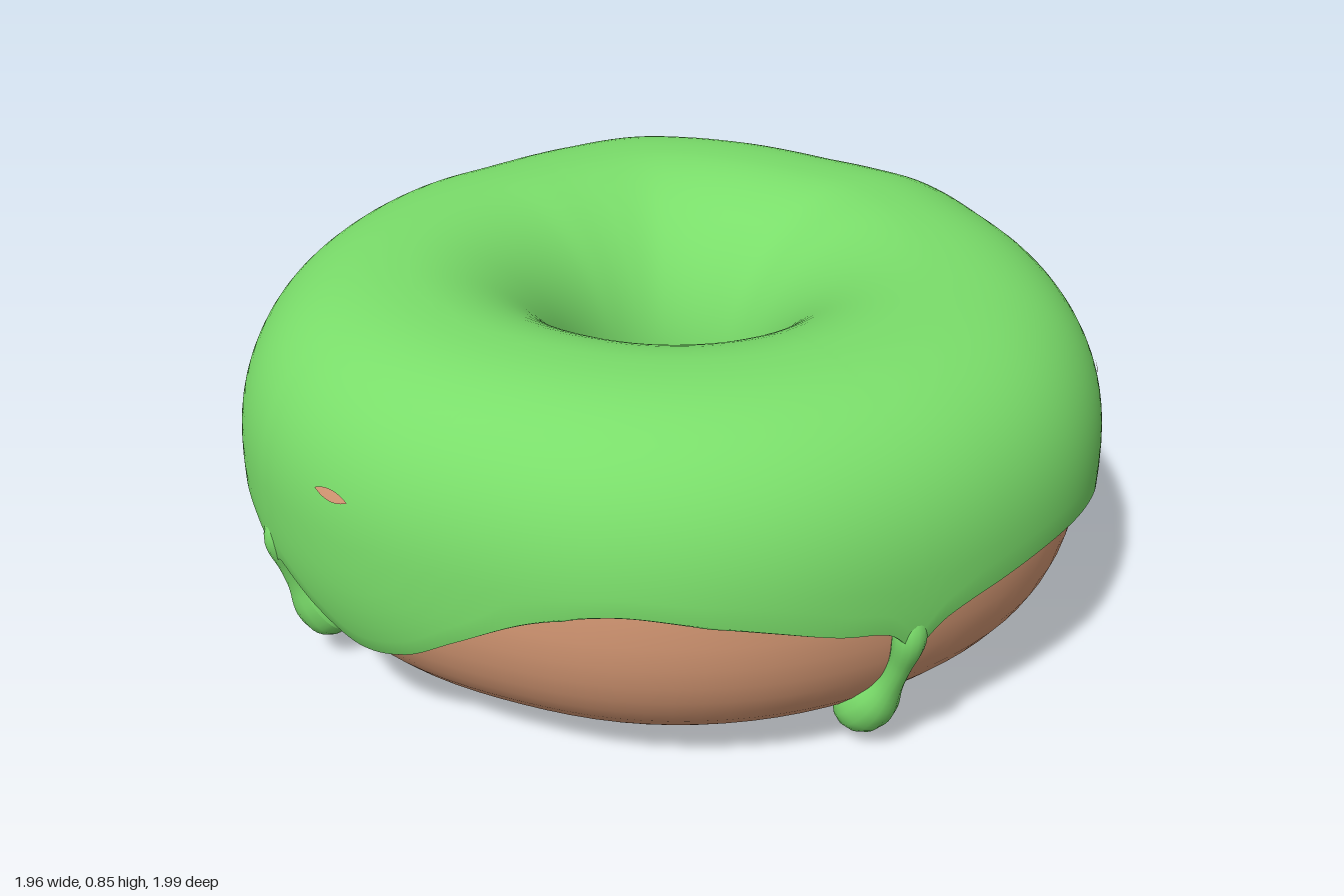
import * as THREE from 'three';

const RAD = Math.PI / 180;
const ICING = 0.035; // icing thickness over the dough
const MID = 0.44;    // height of the waist

const doughMat = new THREE.MeshStandardMaterial({ color: 0xdb9c77 });
doughMat.name = 'dough brown';
const icingMat = new THREE.MeshStandardMaterial({ color: 0x7add6a });
icingMat.name = 'icing green';

// Smooth curve through [x, y] knots, optionally repeating every `period`
function smooth(knots, period = 0) {
  const n = knots.length;
  const knot = (i) => {
    if (!period) return knots[Math.min(n - 1, Math.max(0, i))];
    const k = ((i % n) + n) % n;
    return [knots[k][0] + Math.floor(i / n) * period, knots[k][1]];
  };
  return (x) => {
    if (period) x = ((x % period) + period) % period;
    let i = -1;
    while (i < n - 1 && knots[i + 1][0] <= x) i++;
    if (!period) i = Math.min(n - 2, Math.max(0, i));
    const [p, a, b, q] = [knot(i - 1), knot(i), knot(i + 1), knot(i + 2)];
    const d = b[0] - a[0], s = (x - a[0]) / d;
    const ma = (b[1] - p[1]) / (b[0] - p[0]) * d, mb = (q[1] - a[1]) / (q[0] - a[0]) * d;
    const s2 = s * s, s3 = s2 * s;
    return (2 * s3 - 3 * s2 + 1) * a[1] + (s3 - 2 * s2 + s) * ma + (3 * s2 - 2 * s3) * b[1] + (s3 - s2) * mb;
  };
}

// Uneven outer radius by angle in degrees (0 = front, 90 = left side)
const outerRadius = smooth([[0, 0.995], [15, 1], [30, 1.01], [47, 1.02], [62, 1.01], [78, 0.99], [90, 0.98],
  [102, 0.975], [116, 0.995], [125, 0.97], [135, 0.95], [152, 0.975], [163, 0.995], [174, 1.002], [189, 0.942],
  [206, 0.903], [220, 0.92], [241, 0.935], [261, 0.962], [276, 0.985], [290, 0.987], [305, 0.982], [325, 0.971],
  [342, 0.985]], 360);

// Height of the icing's wavy lower edge by angle, dipping where it drips
const icingEdge = smooth([[0, 0.42], [8, 0.385], [14, 0.365], [16.5, 0.33], [18, 0.3], [19.5, 0.33], [22, 0.365],
  [28, 0.395], [40, 0.42], [52, 0.41], [62, 0.375], [70, 0.35], [80, 0.38], [92, 0.46], [100, 0.41], [105, 0.36],
  [108, 0.29], [111, 0.325], [120, 0.39], [132, 0.48], [145, 0.52], [160, 0.5], [174, 0.47], [185, 0.43],
  [194, 0.36], [197.5, 0.29], [201, 0.33], [215, 0.34], [225, 0.39], [234, 0.45], [245, 0.47], [257, 0.44],
  [270, 0.41], [280, 0.375], [284.5, 0.34], [287, 0.29], [290, 0.31], [298, 0.25], [305, 0.21], [314, 0.25],
  [322, 0.33], [332, 0.42], [342, 0.46], [352, 0.445]], 360);

const SQUARENESS = 0.85; // below 1 fills out the outer corners

// Half-height of the section above or below the waist
function halfHeight(deg, up, off) {
  if (up) return 0.84 - 0.016 * Math.cos(deg * RAD) - MID - ICING + off;
  return MID - 0.035 + 0.033 * Math.exp(-(((deg - 205) / 35) ** 2)) + off;
}

// Point on the ring: t = 0 outside, PI/2 top, PI inside the hole
function ringPoint(deg, t, off) {
  const hole = 0.2 + 0.03 * Math.cos(deg * RAD);
  const R = outerRadius(deg), c = Math.cos(t), s = Math.sin(t);
  const half = (R - hole) / 2 - ICING + off;
  const e = c > 0 ? SQUARENESS : 1;
  const r = (R + hole) / 2 + half * Math.sign(c) * Math.abs(c) ** e;
  const y = MID + halfHeight(deg, s > 0, off) * Math.sign(s) * Math.abs(s) ** e;
  return new THREE.Vector3(r * Math.sin(deg * RAD), y, r * Math.cos(deg * RAD));
}

// Section angle at which the outer face reaches height y
function angleAt(deg, y, off) {
  const up = y > MID;
  const k = Math.min(1, Math.abs(y - MID) / halfHeight(deg, up, off));
  return Math.asin(k ** (1 / SQUARENESS)) * (up ? 1 : -1);
}

const outerPoint = (deg, y, off) => ringPoint(deg, angleAt(deg, y, off), off);

// Grid surface from point(i, j), optionally joined around either way
function gridGeometry(nu, nv, wrapU, wrapV, point) {
  const pos = [], index = [];
  for (let j = 0; j < nv; j++) for (let i = 0; i < nu; i++) pos.push(...point(i, j).toArray());
  for (let j = 0; j < (wrapV ? nv : nv - 1); j++) {
    for (let i = 0; i < (wrapU ? nu : nu - 1); i++) {
      const i1 = (i + 1) % nu, j1 = (j + 1) % nv;
      const a = j * nu + i, b = j * nu + i1, c = j1 * nu + i1, d = j1 * nu + i;
      index.push(a, b, c, a, c, d);
    }
  }
  const g = new THREE.BufferGeometry();
  g.setAttribute('position', new THREE.Float32BufferAttribute(pos, 3));
  g.setIndex(index);
  g.computeVertexNormals();
  return g;
}

// Drip that leaves the icing, narrows to a neck and ends in a rounded bulb
const dripRadius = smooth([[0, 0.02], [0.18, 0.036], [0.4, 0.026], [0.55, 0.03], [0.72, 0.055], [0.85, 0.062], [0.95, 0.042], [1, 0]]);
function dripGeometry(startDeg, endDeg, bottom) {
  const path = new THREE.CatmullRomCurve3([0, 0.2, 0.45, 0.7, 0.88, 1].map((u) => {
    const deg = startDeg + (endDeg - startDeg) * u * u;
    return outerPoint(deg, 0.41 + (bottom - 0.41) * u, u === 0 ? -0.02 : 0.01);
  }));
  const steps = 32, sides = 14;
  const g = new THREE.TubeGeometry(path, steps, 1, sides);
  const pos = g.attributes.position, v = new THREE.Vector3();
  for (let i = 0; i <= steps; i++) {
    const centre = path.getPointAt(i / steps);
    const r = Math.max(0.001, dripRadius(i / steps));
    for (let k = 0; k <= sides; k++) {
      const n = i * (sides + 1) + k;
      v.fromBufferAttribute(pos, n).sub(centre).multiplyScalar(r).add(centre);
      pos.setXYZ(n, v.x, v.y, v.z);
    }
  }
  g.computeVertexNormals();
  return g;
}

export function createModel() {
  const model = new THREE.Group();
  model.name = 'donut';
  const add = (name, geometry, material) => {
    const mesh = new THREE.Mesh(geometry, material);
    mesh.name = name;
    model.add(mesh);
    return mesh;
  };

  // Dough ring
  const around = 96, section = 48;
  add('dough', gridGeometry(around, section, true, true,
    (i, j) => ringPoint(i * 360 / around, j * 2 * Math.PI / section, 0)), doughMat);

  // Icing shell with a rounded lip at its outer and inner edges
  const turns = 360, rows = 48;
  const lip = [-0.012, 0.016, 0.029];
  add('icing', gridGeometry(turns, rows, true, false, (i, j) => {
    const deg = i * 360 / turns;
    const start = angleAt(deg, icingEdge(deg), ICING), end = Math.PI + 0.1;
    const fromEnd = rows - 1 - j;
    if (j < 3) return ringPoint(deg, start + [0, -0.015, -0.008][j], lip[j]);
    if (fromEnd < 3) return ringPoint(deg, end + 0.01 * (2 - fromEnd), lip[fromEnd]);
    return ringPoint(deg, start + (end - start) * (j - 3) / (rows - 6), ICING);
  }), icingMat);

  // Four drips: angle at the top, angle at the bulb, lowest height
  for (const drip of [[18, 17], [108, 107], [197.5, 189], [287, 286]]) {
    add('drip', dripGeometry(...drip, drip[0] > 280 ? 0.08 : 0.055), icingMat);
  }

  // Thin bare spots: centre angle, half width, lower height, upper height, slant
  const spots = [[253, 8, 0.6, 0.68, 0.02], [215, 8, 0.62, 0.64, 0], [165, 9, 0.62, 0.66, -0.02],
    [71, 7, 0.605, 0.622, 0], [304, 3, 0.56, 0.585, 0]];
  for (const [deg, width, low, high, slant] of spots) {
    add('bareSpot', gridGeometry(13, 4, false, false, (i, j) => {
      const u = i / 6 - 1, a = deg + width * u;
      const y = (low + high) / 2 + slant * u + (high - low) * (j / 3 - 0.5) * (1 - u * u);
      return outerPoint(a, y, ICING + 0.004);
    }), doughMat);
  }

  // Larger bare corner, pointing downwards
  add('bareCorner', gridGeometry(17, 9, false, false, (i, j) => {
    const u = i / 8 - 1, a = 122 + 13 * u;
    const depth = 0.02 + 0.16 * Math.max(0, 1 - Math.abs(u + 0.2) * 1.8);
    const y = 0.785 - depth * (1 - Math.abs(u) ** 3) * (1 - j / 8);
    return outerPoint(a, y, ICING + 0.006);
  }), doughMat);

  // Crumb in the middle of the hole
  add('crumb', new THREE.SphereGeometry(0.014, 12, 8), doughMat).position.set(-0.005, 0.05, 0.045);

  return model;
}
